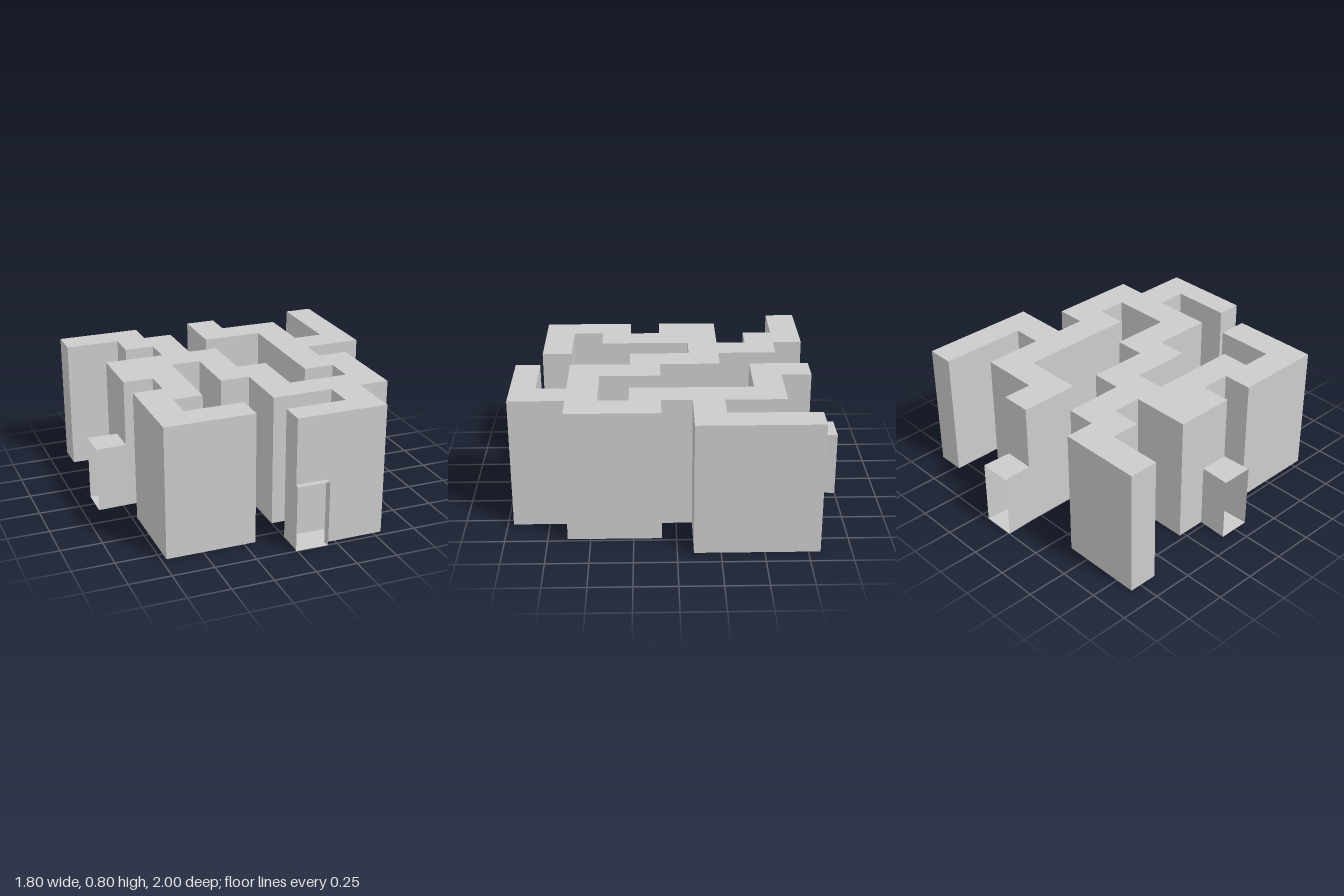
import * as THREE from 'three';

const H = 0.8;      // corridor height
const DOOR_H = 0.4; // door height
const FLARE = 0.008;

// Plan outline [x, z], clockwise seen from above; a third value marks the
// edge starting there as a doorway, with the length of its porch.
const plan = [
  [0, -0.82, 0.18], [0.185, -0.82], [0.185, -0.64], [0.55, -0.64], [0.55, -0.28],
  [0.73, -0.28], [0.73, -0.82], [0.9, -0.82], [0.9, -0.095], [0.55, -0.095],
  [0.55, 0.085], [0.73, 0.085], [0.73, 0.635], [0.55, 0.635], [0.55, 0.965],
  [0.185, 0.965, 0.035], [0, 0.965], [0, 0.815], [0.365, 0.815], [0.365, 0.635],
  [0, 0.635], [0, 0.27], [-0.18, 0.27], [-0.18, -0.095], [-0.36, -0.095],
  [-0.36, 0.45], [-0.54, 0.45], [-0.54, 0.635], [-0.18, 0.635], [-0.18, 0.815],
  [-0.72, 0.815], [-0.72, 0.27], [-0.54, 0.27], [-0.54, 0.085],
  [-0.72, 0.085, 0.185], [-0.72, -0.095], [-0.72, -0.28], [-0.36, -0.28],
  [-0.36, -0.46], [-0.54, -0.46], [-0.54, -0.64], [-0.87, -0.64], [-0.87, -0.82],
  [-0.36, -0.82], [-0.36, -0.64], [-0.18, -0.64], [-0.18, -0.28], [0, -0.28],
  [0, 0.085], [0.185, 0.085], [0.185, 0.45], [0.55, 0.45], [0.55, 0.27],
  [0.365, 0.27], [0.365, -0.46], [0, -0.46],
];

// Flat-sided geometry from four-cornered faces
function quads(faces) {
  const pos = [];
  for (const [a, b, c, d] of faces) pos.push(...a, ...b, ...c, ...a, ...c, ...d);
  const g = new THREE.BufferGeometry();
  g.setAttribute('position', new THREE.Float32BufferAttribute(pos, 3));
  g.computeVertexNormals();
  return g;
}

// Upright wall over the plan edge a-b, facing out of the plan
function wall(a, b, y0, y1) {
  return [[a[0], y0, a[1]], [a[0], y1, a[1]], [b[0], y1, b[1]], [b[0], y0, b[1]]];
}

// Flared porch, open at both ends
function porch(a, b, depth) {
  const len = Math.hypot(b[0] - a[0], b[1] - a[1]);
  const dx = (b[0] - a[0]) / len, dz = (b[1] - a[1]) / len;
  const out = (p, s) => [p[0] + dz * depth + s * dx * FLARE, p[1] - dx * depth + s * dz * FLARE];
  const c = out(a, -1), d = out(b, 1);
  const at = (p, y) => [p[0], y, p[1]];
  return quads([
    wall(a, c, 0, DOOR_H).reverse(),
    wall(d, b, 0, DOOR_H).reverse(),
    [at(a, DOOR_H), at(b, DOOR_H), at(d, DOOR_H), at(c, DOOR_H)],
    [at(a, 0), at(c, 0), at(d, 0), at(b, 0)],
  ]);
}

export function createModel() {
  const group = new THREE.Group();
  group.name = 'corridorMaze';
  const material = new THREE.MeshStandardMaterial({
    color: 0xcccccc, flatShading: true, side: THREE.DoubleSide,
  });
  const add = (name, geometry) => {
    const mesh = new THREE.Mesh(geometry, material);
    mesh.name = name;
    group.add(mesh);
    return mesh;
  };

  // Walls, cut away below the lintel at each doorway
  const walls = [];
  plan.forEach((a, i) => {
    const b = plan[(i + 1) % plan.length];
    walls.push(wall(a, b, a[2] ? DOOR_H : 0, H));
    if (a[2]) add('doorPorch', porch(a, b, a[2]));
  });
  add('walls', quads(walls));

  // Roof and floor share the plan
  const slab = (s) => new THREE.ShapeGeometry(
    new THREE.Shape(plan.map(([x, z]) => new THREE.Vector2(x, s * z))),
  ).rotateX(s * Math.PI / 2);
  add('roof', slab(-1)).position.y = H;
  add('floor', slab(1));

  return group;
}
